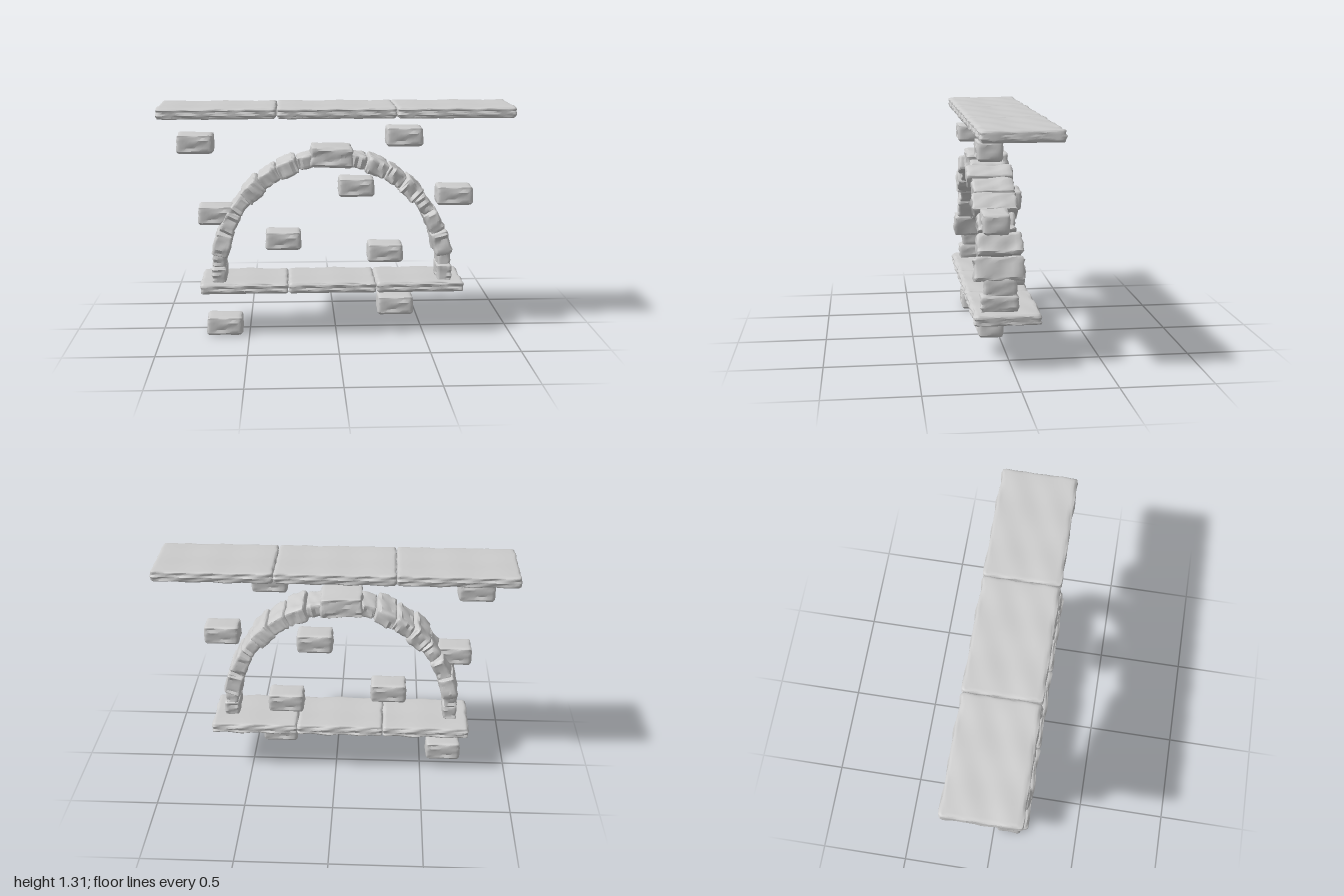
import * as THREE from 'three';
import { mergeVertices, toCreasedNormals } from 'three/addons/utils/BufferGeometryUtils.js';

const material = new THREE.MeshStandardMaterial({ color: 0xcccccc });

// Smooth repeatable noise, roughly -1..1
function noise(x, y, z, s) {
  return (Math.sin(x * 1.7 + y * 2.3 + s * 3.1) + Math.sin(y * 3.1 - z * 1.9 + s * 1.7)
    + Math.sin(z * 2.7 + x * 1.3 - s * 2.2)) / 3;
}

// A worn stone block: rounded box, gently dented faces, chipped strata on its sides
function stone(w, h, d, { seed = 1, round = 0.014, dent = 0.005, chip = 0.009, segs = [14, 8, 12] } = {}) {
  let geo = new THREE.BoxGeometry(2, 2, 2, ...segs);
  geo.deleteAttribute('normal');
  geo.deleteAttribute('uv');
  geo = mergeVertices(geo);
  const pos = geo.attributes.position;
  const half = new THREE.Vector3(w / 2, h / 2, d / 2);
  const inner = half.clone().subScalar(round);
  const p = new THREE.Vector3(), q = new THREE.Vector3(), n = new THREE.Vector3();
  for (let i = 0; i < pos.count; i++) {
    p.fromBufferAttribute(pos, i);
    // Gather the grid lines near the edges
    p.set(Math.sin(p.x * Math.PI / 2), Math.sin(p.y * Math.PI / 2), Math.sin(p.z * Math.PI / 2)).multiply(half);
    q.copy(p).clamp(inner.clone().negate(), inner);
    n.copy(p).sub(q).normalize();
    p.copy(q).addScaledVector(n, round);
    const broad = dent * noise(p.x * 14, p.y * 14, p.z * 14, seed);
    const strata = chip * noise(p.x * 22, p.y * 75, p.z * 22, seed + 5);
    const side = Math.max(Math.abs(n.z), Math.abs(n.x) * 0.5);
    p.addScaledVector(n, (n.y < -0.5 ? 0 : broad) + strata * side);
    pos.setXYZ(i, p.x, p.y, p.z);
  }
  return toCreasedNormals(geo, 0.6);
}

function add(parent, name, geo, x, y, z, turn = 0) {
  const mesh = new THREE.Mesh(geo, material);
  mesh.name = name;
  mesh.position.set(x, y, z);
  mesh.rotation.z = turn;
  parent.add(mesh);
  return mesh;
}

// A row of three slabs sharing one shape
function slabRow(name, x0, x1, y0, y1, z0, z1) {
  const row = new THREE.Group();
  row.name = name;
  const w = (x1 - x0) / 3;
  const geo = stone(w - 0.003, y1 - y0, z1 - z0,
    { seed: 2, round: 0.016, dent: 0.004, chip: 0.009, segs: [30, 10, 22] });
  for (let i = 0; i < 3; i++) {
    add(row, 'slab', geo, x0 + w * (i + 0.5), (y0 + y1) / 2, (z0 + z1) / 2);
  }
  return row;
}

export function createModel() {
  const model = new THREE.Group();
  model.name = 'stoneArchSet';

  // Upper and lower slab rows
  model.add(slabRow('topSlabs', -0.995, 0.995, 1.255, 1.317, -0.215, 0.205));
  model.add(slabRow('baseSlabs', -0.772, 0.722, 0.265, 0.327, -0.147, 0.207));

  // Arch: a leg of two blocks on each side, then a ring of tilted stones
  const arch = new THREE.Group();
  arch.name = 'arch';
  model.add(arch);
  const cx = -0.025, cy = 0.39, radius = 0.637;
  // angle, thickness, length, front z, back z
  const ring = [
    [14, 0.095, 0.13, 0.2, -0.07],
    [25.5, 0.085, 0.12, 0.18, -0.06],
    [36, 0.075, 0.105, 0.17, -0.03],
    [46, 0.1, 0.115, 0.195, -0.05],
    [56.5, 0.085, 0.11, 0.18, -0.05],
    [67, 0.09, 0.115, 0.2, -0.055],
    [77, 0.075, 0.1, 0.17, -0.02],
  ];
  for (const side of [1, -1]) {
    add(arch, 'legStone', stone(0.082, 0.092, 0.2, { seed: 3 + side }), cx + side * 0.64, 0.367, 0.068);
    add(arch, 'legStone', stone(0.075, 0.105, 0.18, { seed: 7 + side }),
      cx + side * 0.638, 0.455, 0.06, side * 0.05);
    ring.forEach(([deg, thick, length, front, back], i) => {
      const a = THREE.MathUtils.degToRad(deg);
      const geo = stone(thick, length, front - back, { seed: i * 2.3 + side, dent: 0.006, chip: 0.012 });
      add(arch, 'archStone', geo, cx + side * radius * Math.cos(a), cy + radius * Math.sin(a),
        (front + back) / 2, side * a);
    });
  }
  add(arch, 'keystone', stone(0.235, 0.112, 0.225, { seed: 4, chip: 0.01 }), -0.028, 1.035, 0.068, -0.04);

  // Loose bricks, all of one shape
  const bricks = new THREE.Group();
  bricks.name = 'looseBricks';
  model.add(bricks);
  const brick = stone(0.202, 0.108, 0.14, { seed: 6, round: 0.018, dent: 0.004, chip: 0.008 });
  const places = [
    [-0.785, 1.113, 0.095], [0.38, 1.147, 0.095], [0.12, 0.837, -0.04],
    [0.667, 0.812, 0.095], [-0.675, 0.709, 0.095], [-0.302, 0.527, -0.04],
    [0.289, 0.449, -0.04], [0.338, 0.171, 0.087], [-0.64, 0.061, 0.09],
  ];
  for (const [x, y, z] of places) add(bricks, 'brick', brick, x, y, z);

  // Rest the lowest brick on the ground
  model.position.y = -new THREE.Box3().setFromObject(model).min.y;
  return model;
}
